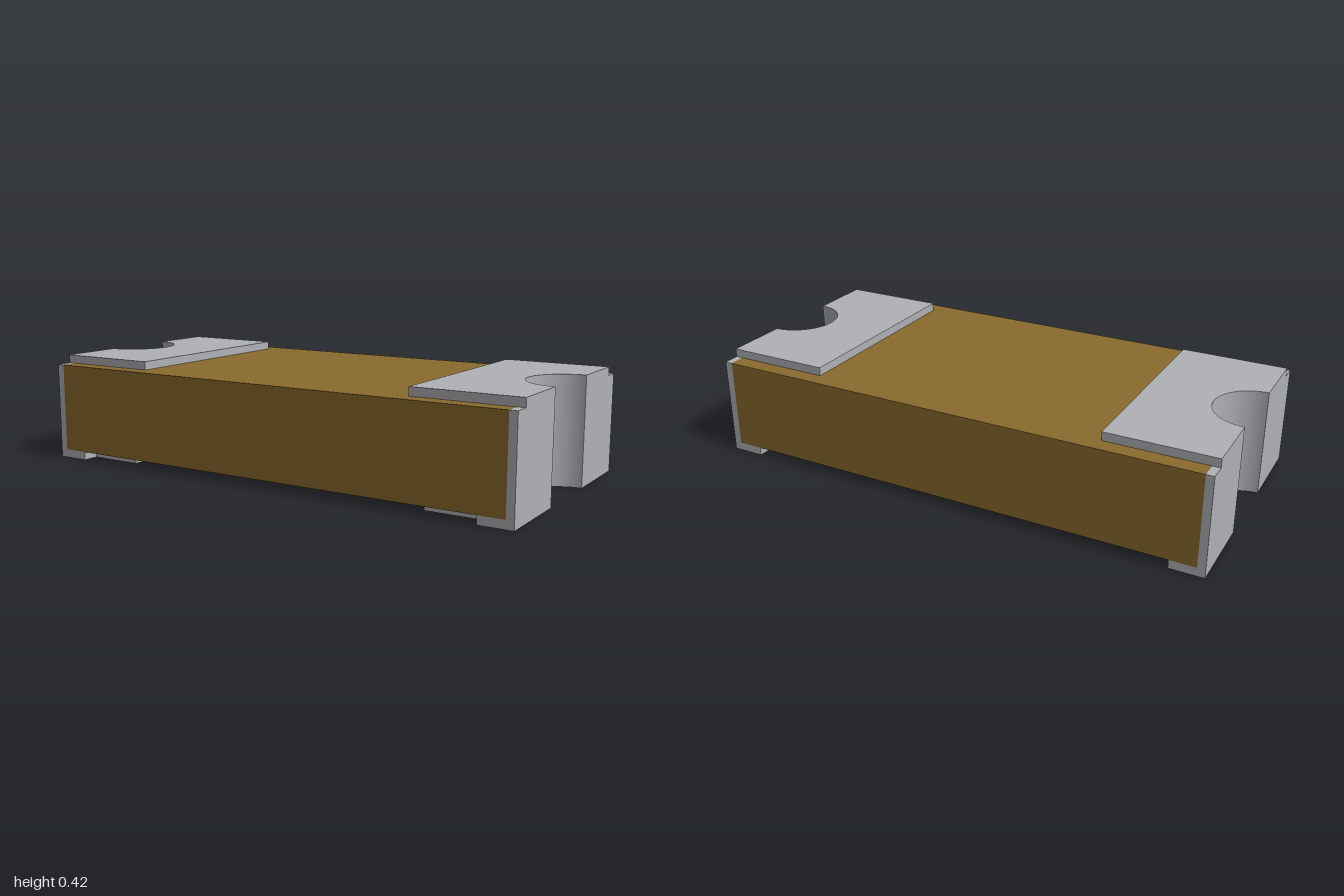
import * as THREE from 'three';
import { toCreasedNormals } from 'three/addons/utils/BufferGeometryUtils.js';

const HALF_Z = 0.48, PAD_Z = 0.416;      // half widths of body and pads
const END = 1, CORE = 0.97;              // outer end and body end
const R = 0.158, R_CORE = 0.188;         // notch radius, and that of the body behind the plating
const Y1 = 0.033, Y2 = 0.385, Y3 = 0.418; // bottom pad top, body top, top pad top

// Adds a concave notch arc centred on x = side, from +z to -z or back
function notch(shape, side, radius, face, fromPositive) {
  const a = Math.acos((END - face) / radius);
  const s = fromPositive ? 1 : -1;
  const start = side > 0 ? Math.PI - s * a : s * a;
  const end = side > 0 ? Math.PI + s * a : -s * a;
  shape.absarc(side * END, 0, radius, start, end, side > 0 ? s < 0 : s > 0);
}

// Extrudes a plan outline upward from y0 to y1
function slab(name, shape, y0, y1, material) {
  const flat = new THREE.ExtrudeGeometry(shape, { depth: y1 - y0, bevelEnabled: false, curveSegments: 32 });
  flat.rotateX(-Math.PI / 2).translate(0, y0, 0);
  const mesh = new THREE.Mesh(toCreasedNormals(flat, 0.5), material);
  mesh.name = name;
  return mesh;
}

// Plan outline given as points, closed by the notch at x = 1
function endOutline(points) {
  const shape = new THREE.Shape();
  shape.moveTo(END, -R);
  points.forEach(([x, z]) => shape.lineTo(x, z));
  shape.lineTo(END, R);
  // arc from +z to -z through the inside of the notch
  shape.absarc(END, 0, R, Math.PI / 2, Math.PI * 1.5, false);
  return shape;
}

function createTerminal(metal) {
  const g = new THREE.Group();

  // Top pad
  const top = endOutline([[END, -PAD_Z], [0.585, -PAD_Z], [0.585, PAD_Z], [END, PAD_Z]]);
  g.add(slab('topPad', top, Y2, Y3, metal));

  // Bottom pad, full width at the end and narrower inward
  const bottom = endOutline([
    [END, -HALF_Z], [0.87, -HALF_Z], [0.87, -PAD_Z], [0.65, -PAD_Z],
    [0.65, PAD_Z], [0.87, PAD_Z], [0.87, HALF_Z], [END, HALF_Z],
  ]);
  g.add(slab('bottomPad', bottom, 0, Y1, metal));

  // End plating that also lines the notch
  const a = Math.acos((END - CORE) / R_CORE);
  const wall = new THREE.Shape();
  wall.moveTo(END, -R);
  wall.lineTo(END, -HALF_Z);
  wall.lineTo(CORE, -HALF_Z);
  wall.absarc(END, 0, R_CORE, Math.PI + a, Math.PI - a, true);
  wall.lineTo(CORE, HALF_Z);
  wall.lineTo(END, HALF_Z);
  wall.absarc(END, 0, R, Math.PI / 2, Math.PI * 1.5, false);
  g.add(slab('endPlating', wall, Y1, Y2, metal));
  return g;
}

export function createModel() {
  const brown = new THREE.MeshStandardMaterial({ color: 0x8a6a2e });
  brown.name = 'brown substrate';
  const metal = new THREE.MeshStandardMaterial({ color: 0xb0b1b5 });
  metal.name = 'grey metal';

  const model = new THREE.Group();
  model.name = 'chipComponent';

  // Substrate block with a notch at each end
  const body = new THREE.Shape();
  body.moveTo(-CORE, -HALF_Z);
  body.lineTo(CORE, -HALF_Z);
  notch(body, 1, R_CORE, CORE, false);
  body.lineTo(CORE, HALF_Z);
  body.lineTo(-CORE, HALF_Z);
  notch(body, -1, R_CORE, CORE, true);
  model.add(slab('substrate', body, Y1, Y2, brown));

  // Matching terminals at both ends
  ['leftTerminal', 'rightTerminal'].forEach((name, i) => {
    const terminal = createTerminal(metal);
    terminal.name = name;
    terminal.rotation.y = i * Math.PI;
    model.add(terminal);
  });
  return model;
}
